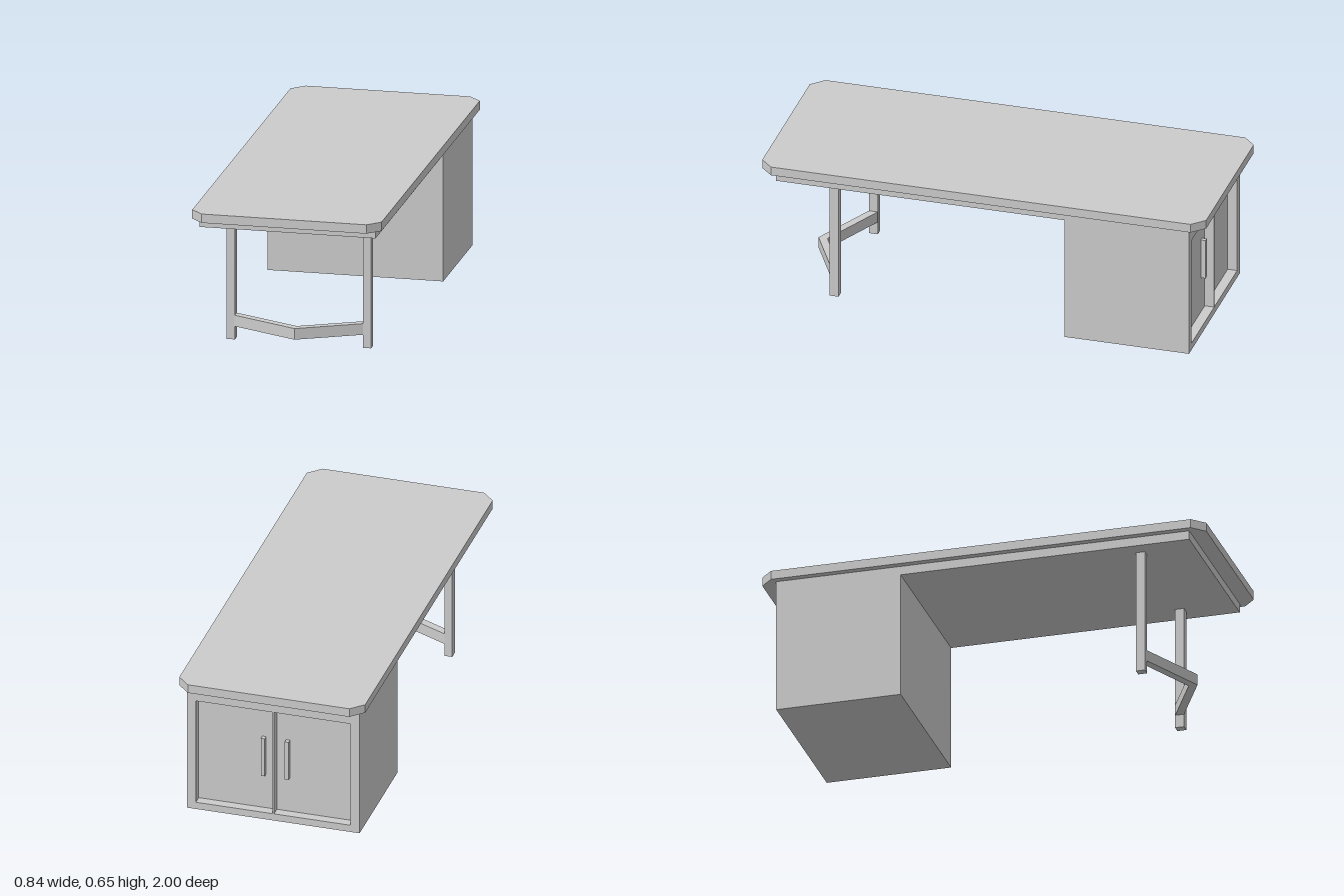
import * as THREE from 'three';

const material = new THREE.MeshStandardMaterial({ color: 0xcccccc, flatShading: true });

export function createModel() {
  const desk = new THREE.Group();
  desk.name = 'desk';

  const add = (name, geometry, parent = desk) => {
    const mesh = new THREE.Mesh(geometry, material);
    mesh.name = name;
    parent.add(mesh);
    return mesh;
  };
  // Box given by its extents on each axis
  const box = (name, [x0, x1], [y0, y1], [z0, z1], parent) => {
    const mesh = add(name, new THREE.BoxGeometry(x1 - x0, y1 - y0, z1 - z0), parent);
    mesh.position.set((x0 + x1) / 2, (y0 + y1) / 2, (z0 + z1) / 2);
    return mesh;
  };
  // Plan outline of (x, z) points raised between two heights
  const slab = (name, points, y0, y1, parent) => {
    const shape = new THREE.Shape(points.map(([x, z]) => new THREE.Vector2(x, -z)));
    const geometry = new THREE.ExtrudeGeometry(shape, { depth: y1 - y0, bevelEnabled: false });
    geometry.rotateX(-Math.PI / 2).translate(0, y0, 0);
    return add(name, geometry, parent);
  };

  // Table top with clipped corners
  const W = 0.42, L = 1, c = 0.055;
  slab('tableTop', [
    [W - c, L], [W, L - c], [W, c - L], [W - c, -L],
    [c - W, -L], [-W, c - L], [-W, L - c], [c - W, L],
  ], 0.61, 0.65);

  // Sub-top under the table top
  box('apron', [-0.39, 0.39], [0.57, 0.61], [-0.93, 0.93]);

  // Cabinet: solid body plus an open frame around the recessed doors
  const cabinet = new THREE.Group();
  cabinet.name = 'cabinet';
  desk.add(cabinet);
  const back = -0.93, doorZ = -0.887;
  box('cabinetBody', [-0.39, 0.39], [0, 0.57], [doorZ, -0.37], cabinet);

  const frame = new THREE.Shape([
    new THREE.Vector2(-0.39, 0), new THREE.Vector2(0.39, 0),
    new THREE.Vector2(0.39, 0.57), new THREE.Vector2(-0.39, 0.57),
  ]);
  frame.holes.push(new THREE.Path([
    new THREE.Vector2(-0.35, 0.033), new THREE.Vector2(-0.35, 0.535),
    new THREE.Vector2(0.35, 0.535), new THREE.Vector2(0.35, 0.033),
  ]));
  add('cabinetFrame', new THREE.ExtrudeGeometry(frame, { depth: doorZ - back, bevelEnabled: false }), cabinet)
    .position.z = back;

  // Thin divider between the two doors, and a pull on each door
  box('doorDivider', [-0.003, 0.003], [0.033, 0.535], [back, doorZ], cabinet);
  for (const s of [-1, 1]) {
    const x = s * 0.054;
    box(s > 0 ? 'leftDoorHandle' : 'rightDoorHandle',
      [x - 0.009, x + 0.009], [0.2, 0.385], [doorZ - 0.022, doorZ], cabinet);
  }

  // Leg frame: two posts joined by a bent stretcher
  const legFrame = new THREE.Group();
  legFrame.name = 'legFrame';
  desk.add(legFrame);
  for (const s of [-1, 1]) {
    const x = s * 0.302 - 0.001;
    box(s > 0 ? 'leftLeg' : 'rightLeg', [x - 0.018, x + 0.018], [0.006, 0.57], [0.67, 0.71], legFrame);
  }
  slab('stretcher', [
    [-0.286, 0.71], [0.012, 0.85], [0.284, 0.71],
    [0.284, 0.67], [0.012, 0.81], [-0.286, 0.67],
  ], 0.065, 0.115, legFrame);

  return desk;
}
